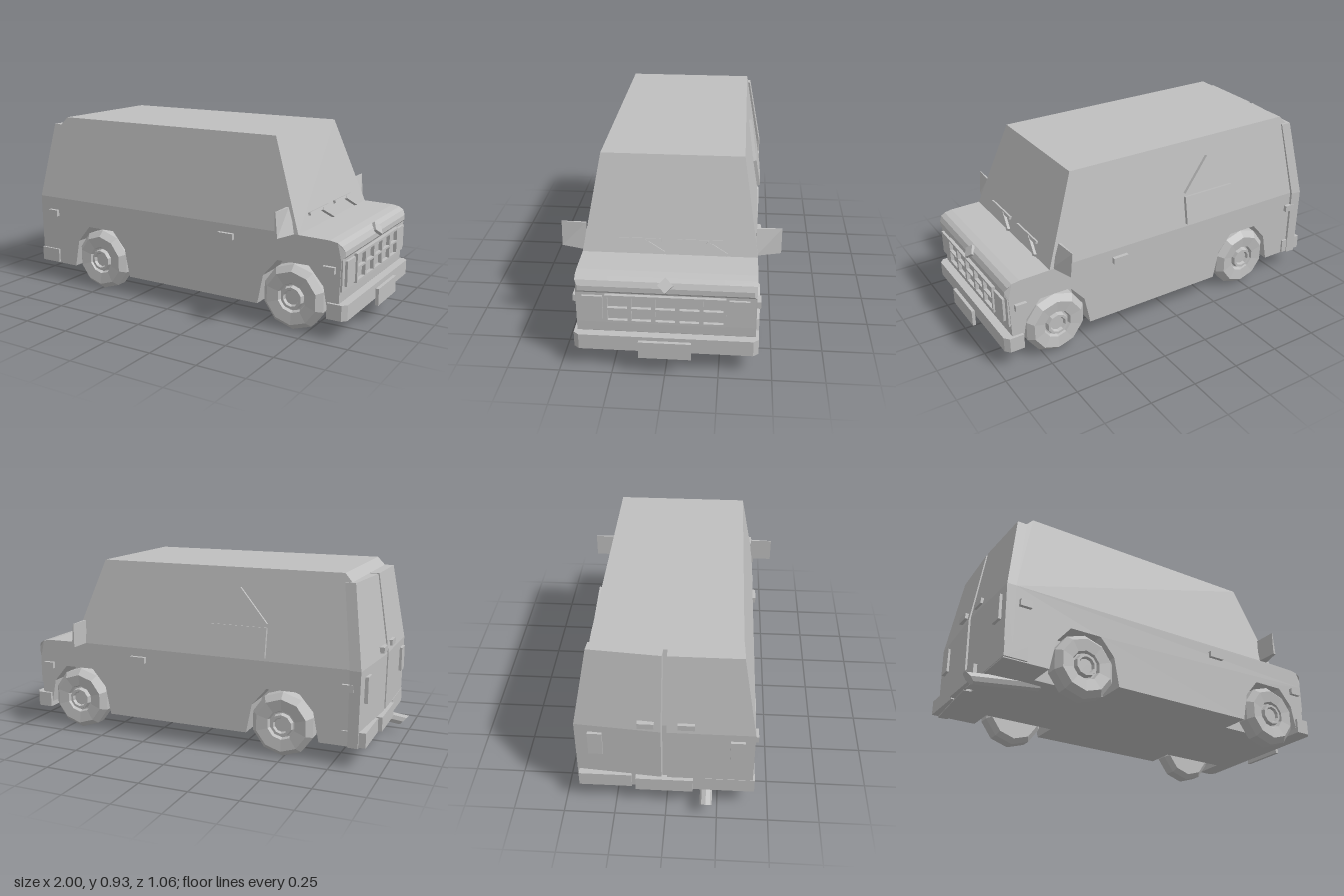
import * as THREE from 'three';

const grey = new THREE.MeshStandardMaterial({ color: 0xbfbfbf, flatShading: true });
grey.name = 'plain grey';

const shapeOf = (pts) => new THREE.Shape(pts.map(([x, y]) => new THREE.Vector2(x, y)));

function add(parent, name, geometry, x = 0, y = 0, z = 0) {
  const mesh = new THREE.Mesh(geometry, grey);
  mesh.name = name;
  mesh.position.set(x, y, z);
  parent.add(mesh);
  return mesh;
}

// Box given by its limits on each axis
function box(parent, name, [x0, x1], [y0, y1], [z0, z1]) {
  return add(parent, name, new THREE.BoxGeometry(x1 - x0, y1 - y0, z1 - z0),
    (x0 + x1) / 2, (y0 + y1) / 2, (z0 + z1) / 2);
}

// Side profile extruded from z0 to z1
function slab(pts, z0, z1) {
  const g = new THREE.ExtrudeGeometry(shapeOf(pts), { depth: z1 - z0, bevelEnabled: false });
  return g.translate(0, 0, z0);
}

function moveVertices(g, rule) {
  const p = g.attributes.position;
  const v = new THREE.Vector3();
  for (let i = 0; i < p.count; i++) {
    v.fromBufferAttribute(p, i);
    rule(v);
    p.setXYZ(i, v.x, v.y, v.z);
  }
  g.computeVertexNormals();
  return g;
}

// The sides lean inward above the beltline
const BELT = 0.48, HALF = 0.42, LEAN = 0.169;
const leanIn = (v) => {
  const limit = HALF - LEAN * Math.max(0, v.y - BELT);
  v.z = THREE.MathUtils.clamp(v.z, -limit, limit);
};
const roundNose = (v) => { if (v.x > 0.93) v.z *= 0.97; };

const AXLES = [-0.49, 0.675];
const nose = [[0.9, 0.1], [0.915, 0.18], [0.92, 0.385], [0.936, 0.405], [0.935, 0.43],
  [0.922, 0.455], [0.9, 0.47], [0.86, 0.477], [0.7, BELT], [-0.87, BELT]];

function buildBody(van) {
  const arches = AXLES.flatMap((x) =>
    [[-0.19, 0.1], [-0.16, 0.25], [-0.083, 0.34], [0.083, 0.34], [0.16, 0.25], [0.19, 0.1]]
      .map(([dx, y]) => [x + dx, y]));
  add(van, 'lowerBodyCore', moveVertices(slab([[-0.87, 0.1], ...nose], -0.27, 0.27), roundNose));
  const outer = [[-0.87, 0.1], ...arches, ...nose];
  add(van, 'leftLowerSide', moveVertices(slab(outer, 0.27, HALF), roundNose));
  add(van, 'rightLowerSide', moveVertices(slab(outer, -HALF, -0.27), roundNose));

  const cabin = [[-0.87, BELT], [0.7, BELT], [0.535, 0.927], [-0.767, 0.927], [-0.805, 0.885]];
  add(van, 'upperBody', moveVertices(slab(cabin, -HALF, HALF), leanIn));

  // Rear doors, one standing slightly askew
  const door = [[-0.86, 0.1], [-0.86, BELT], [-0.8, 0.885], [-0.853, 0.885], [-0.917, BELT], [-0.912, 0.1]];
  add(van, 'leftRearDoor', moveVertices(slab(door, 0.004, HALF), leanIn));
  const askew = moveVertices(slab(door, -HALF, -0.004), leanIn);
  askew.translate(0.912, 0, 0).rotateY(-0.08);
  add(van, 'rightRearDoor', askew, -0.912, 0, -0.02);
}

function buildWheels(van) {
  const profile = [[0, 0], [0.14, 0], [0.165, 0.025], [0.165, 0.085], [0.135, 0.117], [0.075, 0.11],
    [0.068, 0.09], [0.06, 0.09], [0.055, 0.115], [0.042, 0.115], [0.036, 0.1], [0, 0.1]]
    .map(([r, y]) => new THREE.Vector2(r, y));
  const wheel = new THREE.LatheGeometry(profile, 10);
  for (const x of AXLES) for (const s of [1, -1]) {
    add(van, 'wheel', wheel, x, 0.165, s * 0.32).rotation.x = s * Math.PI / 2;
  }
}

function buildFront(van) {
  // Grille with two rows of five openings
  const frame = shapeOf([[-0.28, 0.245], [0.28, 0.245], [0.28, 0.39], [-0.28, 0.39]]);
  for (let i = -2; i <= 2; i++) for (const y of [0.257, 0.323]) {
    const c = i * 0.111;
    frame.holes.push(new THREE.Path([[-0.046, 0], [-0.046, 0.056], [0.046, 0.056], [0.046, 0]]
      .map(([dz, dy]) => new THREE.Vector2(c + dz, y + dy))));
  }
  const grille = new THREE.ExtrudeGeometry(frame, { depth: 0.035, bevelEnabled: false });
  add(van, 'grille', grille.rotateY(Math.PI / 2), 0.91, 0, 0);
  box(van, 'frontPanel', [0.9, 0.927], [0.235, 0.4], [-0.415, 0.415]);
  for (const s of [1, -1]) {
    box(van, 'headlight', [0.91, 0.94], [0.257, 0.38], [s * 0.34 - 0.048, s * 0.34 + 0.048]);
  }

  // Bumper with clipped corners, wrapping the nose
  const half = [[0.86, 0.435], [0.935, 0.435], [0.957, 0.41]];
  const outline = [...half, ...half.slice().reverse().map(([x, z]) => [x, -z])];
  const bumper = slab(outline, 0.1, 0.178).rotateX(Math.PI / 2).translate(0, 0.278, 0);
  add(van, 'frontBumper', bumper);
  box(van, 'frontPlate', [0.983, 1.0], [0.092, 0.178], [-0.123, 0.123]);

  const ornament = add(van, 'hoodOrnament', new THREE.BoxGeometry(0.016, 0.052, 0.052), 0.933, 0.447, 0);
  ornament.rotation.set(Math.PI / 4, 0, 0.65, 'ZYX');

  // Wipers lying against the windscreen
  for (const z of [0.153, -0.147]) {
    const wiper = new THREE.Group();
    wiper.name = 'wiper';
    wiper.position.set(0.692, 0.515, z);
    wiper.rotation.z = 0.35;
    add(wiper, 'wiperBlade', new THREE.BoxGeometry(0.016, 0.015, 0.222), 0, 0.032, 0);
    add(wiper, 'wiperArm', new THREE.BoxGeometry(0.016, 0.015, 0.112), 0.004, 0, -0.079).rotation.x = -0.53;
    van.add(wiper);
  }
}

function buildSides(van) {
  for (const s of [1, -1]) {
    const z = [s * 0.427 - 0.012, s * 0.427 + 0.012];
    box(van, 'sideHandle', [0.265, 0.35], [0.405, 0.437], z);
    box(van, 'frontMarker', [0.835, 0.895], [0.322, 0.355], z);
    box(van, 'rearMarker', [-0.85, -0.79], [0.375, 0.41], z);

    // Mirror: a wedge, thin at the top and at the outer end
    const mirror = new THREE.BoxGeometry(0.05, 0.125, 0.12);
    moveVertices(mirror, (v) => {
      const top = v.y > 0, out = v.z * s > 0;
      if (v.x > 0) v.x = -0.025 + (top ? 0.012 : 0.05) * (out ? 0.3 : 1);
    });
    add(van, 'mirror', mirror, 0.655, 0.542, s * 0.47);
  }

  // Raised panels on the right side, following the lean
  const panels = new THREE.Group();
  panels.name = 'sidePanels';
  panels.position.set(-0.25, BELT, -HALF);
  panels.rotation.x = Math.atan(LEAN);
  add(panels, 'squarePanel', slab([[-0.15, 0.015], [0.15, 0.015], [0.15, 0.165], [-0.15, 0.165]], -0.018, 0.01));
  add(panels, 'trianglePanel', slab([[-0.15, 0.185], [0.15, 0.185], [0, 0.355]], -0.018, 0.01));
  van.add(panels);
}

function buildRear(van) {
  for (const s of [1, -1]) {
    const shift = s < 0 ? 0.025 : 0;
    box(van, 'tailLight', [-0.93 + shift, -0.9 + shift], [0.31, 0.44], [s * 0.34 - 0.035, s * 0.34 + 0.035]);
    box(van, 'doorHandle', [-0.925, -0.89], [0.505, 0.535], [s * 0.095 - 0.04, s * 0.095 + 0.04]);
    box(van, 'rearBumper', [-0.915, -0.795], [0.105, 0.18], [s * 0.3 - 0.13, s * 0.3 + 0.13]);
  }
  box(van, 'rearPlate', [-0.932, -0.9], [0.103, 0.178], [-0.15, 0.13]);

  // Exhaust pipe with a slanted tip
  const pipe = new THREE.CylinderGeometry(0.03, 0.03, 0.36, 8);
  moveVertices(pipe, (v) => { if (v.y > 0) v.y += v.x * 0.7; });
  add(van, 'exhaust', pipe, -0.8, 0.09, 0.195).rotation.z = Math.PI / 2 + 0.13;
}

export function createModel() {
  const van = new THREE.Group();
  van.name = 'van';
  buildBody(van);
  buildWheels(van);
  buildFront(van);
  buildSides(van);
  buildRear(van);
  return van;
}
